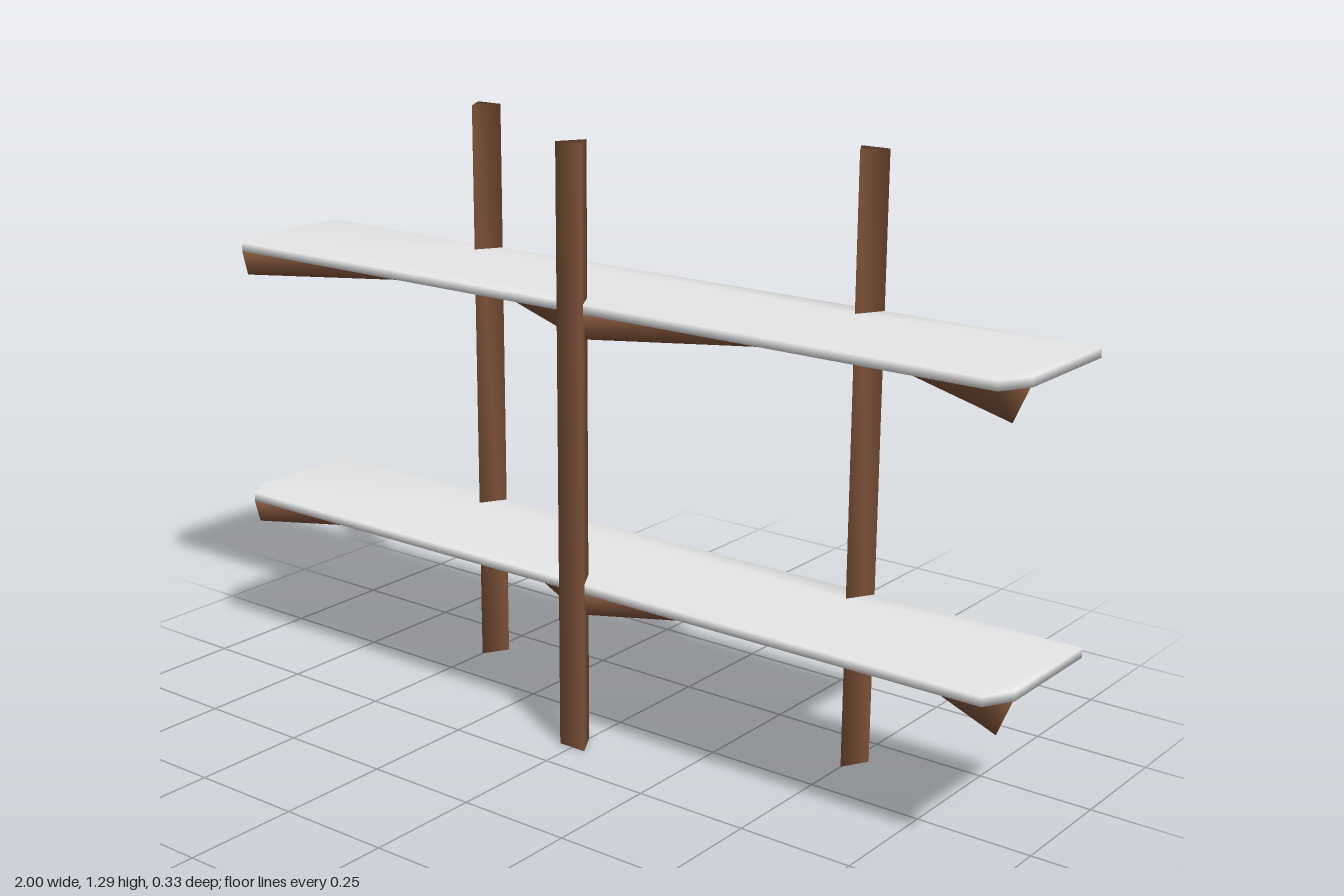
import * as THREE from 'three';
import { mergeVertices } from 'three/addons/utils/BufferGeometryUtils.js';

const wood = new THREE.MeshStandardMaterial({ color: 0x80543a });
wood.name = 'brown wood';
const white = new THREE.MeshStandardMaterial({ color: 0xeeeeee });
white.name = 'white board';

// Extrude an outline with corner normals shared, giving soft shading across edges
function prism(points, depth) {
  const shape = new THREE.Shape(points.map(([x, y]) => new THREE.Vector2(x, y)));
  let g = new THREE.ExtrudeGeometry(shape, { depth, bevelEnabled: false });
  g.deleteAttribute('normal');
  g.deleteAttribute('uv');
  g.clearGroups();
  g = mergeVertices(g, 1e-4);
  g.computeVertexNormals();
  return g;
}

// Extrude an outline given as [x, z] pairs straight up
function upright(points, height) {
  return prism(points.map(([x, z]) => [x, -z]), height).rotateX(-Math.PI / 2);
}

const HALF = 0.033; // half width of posts and beams

export function createModel() {
  const model = new THREE.Group();
  model.name = 'shelvingUnit';

  function add(geometry, material, name, parent = model) {
    const mesh = new THREE.Mesh(geometry, material);
    mesh.name = name;
    parent.add(mesh);
    return mesh;
  }

  // Three triangular posts, flat side outwards
  const posts = [['backRightPost', -0.5, -1], ['frontPost', 0, 1], ['backLeftPost', 0.5, -1]];
  for (const [name, x, side] of posts) {
    add(upright([[x - HALF, side * 0.165], [x + HALF, side * 0.165], [x, side * 0.108]], 1.29), wood, name);
  }

  // Board outline with clipped front corners and a notch around each post
  const outline = [
    [-1, -0.165], [-0.5 - HALF, -0.165], [-0.5, -0.108], [-0.5 + HALF, -0.165],
    [0.5 - HALF, -0.165], [0.5, -0.108], [0.5 + HALF, -0.165], [1, -0.165],
    [1, 0.1], [0.965, 0.162],
    [HALF, 0.162], [0, 0.108], [-HALF, 0.162],
    [-0.965, 0.162], [-1, 0.1],
  ];
  const boardGeometry = upright(outline, 0.02);

  // Zigzag of triangular beams under each board, ridge downwards
  const nodes = [[-0.982, 0.133], [-0.5, -0.135], [0, 0.135], [0.5, -0.135], [0.982, 0.133]];

  for (const [name, top] of [['lowerShelf', 0.374], ['upperShelf', 0.969]]) {
    const shelf = new THREE.Group();
    shelf.name = name;
    shelf.position.y = top - 0.02;
    model.add(shelf);
    add(boardGeometry, white, 'board', shelf);
    for (let i = 0; i < nodes.length - 1; i++) {
      const [x, z] = nodes[i];
      const dx = nodes[i + 1][0] - x, dz = nodes[i + 1][1] - z;
      const beam = add(prism([[-HALF, 0], [0, -0.061], [HALF, 0]], Math.hypot(dx, dz)), wood, 'zigzagBeam', shelf);
      beam.position.set(x, 0, z);
      beam.rotation.y = Math.atan2(dx, dz);
    }
  }
  return model;
}
